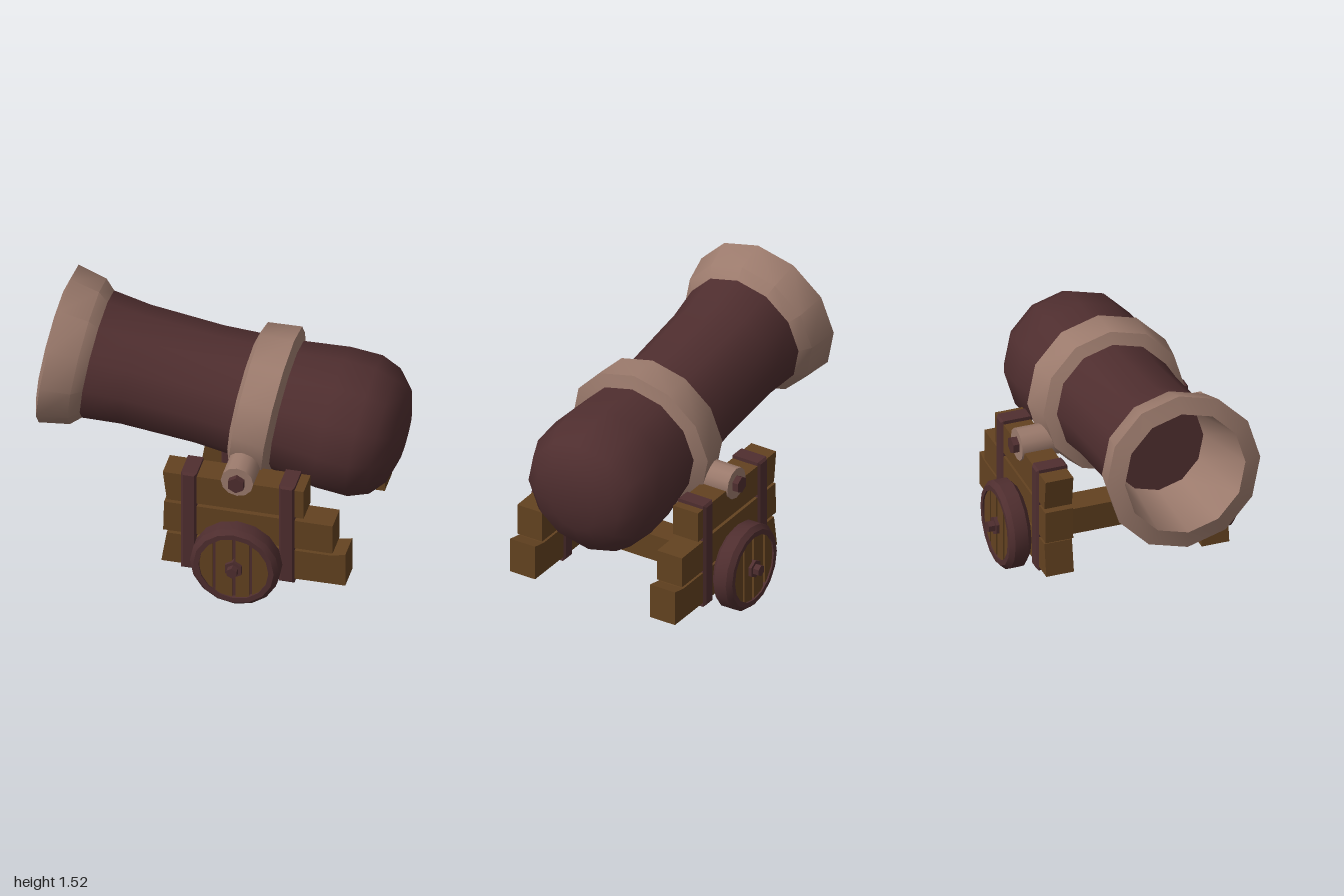
import * as THREE from 'three';
import { toCreasedNormals } from 'three/addons/utils/BufferGeometryUtils.js';

const material = (name, color) => {
  const m = new THREE.MeshStandardMaterial({ color });
  m.name = name;
  return m;
};

export function createModel() {
  const iron = material('dark iron', 0x4f2e2f);
  const bronze = material('pale bronze', 0x9b7a6c);
  const wood = material('brown wood', 0x634220);

  const model = new THREE.Group();
  model.name = 'cannon';

  const add = (parent, name, geometry, mat, x = 0, y = 0, z = 0) => {
    const mesh = new THREE.Mesh(geometry, mat);
    mesh.name = name;
    mesh.position.set(x, y, z);
    parent.add(mesh);
    return mesh;
  };
  // Revolved profile of [radius, distance along axis]
  const lathe = (points, sides, crease = 0.6) => toCreasedNormals(
    new THREE.LatheGeometry(points.map(([r, s]) => new THREE.Vector2(r, s)), sides), crease);
  // Outline extruded and centred on its thickness, with optional small bevel
  const slab = (points, depth, bevel = 0) => {
    const shape = new THREE.Shape(points.map(([x, y]) => new THREE.Vector2(x, y)));
    const g = new THREE.ExtrudeGeometry(shape, {
      depth: depth - 2 * bevel, bevelEnabled: bevel > 0, bevelSegments: 1,
      bevelSize: bevel, bevelThickness: bevel, bevelOffset: -bevel,
    });
    return g.translate(0, 0, -depth / 2 + bevel);
  };
  const rect = (x0, x1, y0, y1) => [[x0, y0], [x1, y0], [x1, y1], [x0, y1]];

  // Barrel: local y runs from muzzle to breech, tilted up at the muzzle
  const barrel = new THREE.Group();
  barrel.name = 'barrel';
  barrel.position.set(-0.925, 1.085, 0);
  barrel.rotation.z = -THREE.MathUtils.degToRad(98.5);
  model.add(barrel);

  add(barrel, 'barrelBody', lathe([
    [0.357, 0.2], [0.332, 0.43], [0.327, 0.84], [0.34, 1.06], [0.356, 1.27], [0.392, 1.53],
    [0.393, 1.71], [0.35, 1.82], [0.265, 1.895], [0.14, 1.932], [0, 1.942],
  ], 12, 0.9), iron);
  add(barrel, 'muzzleRing', lathe([
    [0.27, 0.42], [0.345, -0.027], [0.44, 0], [0.406, 0.165], [0.35, 0.225],
  ], 12), bronze);
  add(barrel, 'boreEnd', lathe([[0, 0.42], [0.275, 0.42]], 12), iron);
  add(barrel, 'middleBand', lathe([
    [0.33, 1.035], [0.405, 1.065], [0.43, 1.25], [0.35, 1.28],
  ], 12), bronze);

  // Outlines of the three stacked planks of each cheek
  const planks = [
    [[-0.2, 0.548], [0.555, 0.548], [0.555, 0.725], [-0.222, 0.725]],
    [[-0.22, 0.345], [0.715, 0.345], [0.715, 0.525], [-0.215, 0.53]],
    [[-0.23, 0.14], [0.785, 0.145], [0.785, 0.348], [0.7, 0.33], [-0.2, 0.328]],
  ];

  // Vertical wheel board: a slice of a disc between two x positions
  const board = (x0, x1, r) => {
    const points = [];
    for (let i = 0; i <= 4; i++) {
      const x = x0 + (x1 - x0) * i / 4;
      points.push([x, -Math.sqrt(r * r - x * x)]);
    }
    return slab([...points, ...points.map(([x, y]) => [x, -y]).reverse()], 0.02);
  };

  for (const side of [1, -1]) {
    const carriage = new THREE.Group();
    carriage.name = side > 0 ? 'frontCheek' : 'backCheek';
    model.add(carriage);

    planks.forEach((outline, i) =>
      add(carriage, 'plank' + (i + 1), slab(outline, 0.158), wood, 0, 0, side * 0.445));
    for (const [x0, x1] of [[-0.12, -0.035], [0.42, 0.505]])
      add(carriage, 'strap', slab(rect(x0, x1, 0.118, 0.745), 0.18, 0.012), iron, 0, 0, side * 0.447);

    // Parts turned about an axis pointing outward from the carriage
    const turned = (name, points, sides, mat, x, y) => {
      const mesh = add(carriage, name, lathe(points, sides), mat, x, y, 0);
      mesh.rotation.x = side * Math.PI / 2;
    };
    turned('trunnion', [[0.09, 0.2], [0.09, 0.535], [0, 0.535]], 12, bronze, 0.19, 0.735);
    turned('trunnionPin', [[0.048, 0.5], [0.048, 0.57], [0, 0.57]], 6, iron, 0.19, 0.735);

    // Wheel: iron rim with recessed boards
    turned('wheelRim', [
      [0, 0.528], [0.215, 0.528], [0.246, 0.555], [0.246, 0.63],
      [0.222, 0.656], [0.193, 0.656], [0.193, 0.632], [0, 0.632],
    ], 16, iron, 0.2, 0.247);
    for (const [x0, x1] of [[-0.188, -0.118], [-0.1, -0.01], [0.01, 0.083], [0.101, 0.188]])
      add(carriage, 'wheelBoard', board(x0, x1, 0.194), wood, 0.2, 0.247, side * 0.637);
    turned('hub', [[0.052, 0.63], [0.052, 0.665], [0, 0.665]], 6, iron, 0.2, 0.247);
    turned('axlePin', [[0.032, 0.63], [0.032, 0.7], [0, 0.7]], 6, iron, 0.2, 0.247);
  }

  // Rough-cut beam joining the two cheeks
  const beam = add(model, 'crossBeam', slab([
    [-0.4, 0.15], [0.18, 0.15], [0.25, 0.185], [0.4, 0.16], [0.4, 0.305], [-0.4, 0.305],
  ], 0.16), wood, 0.2);
  beam.rotation.y = -Math.PI / 2;

  return model;
}
